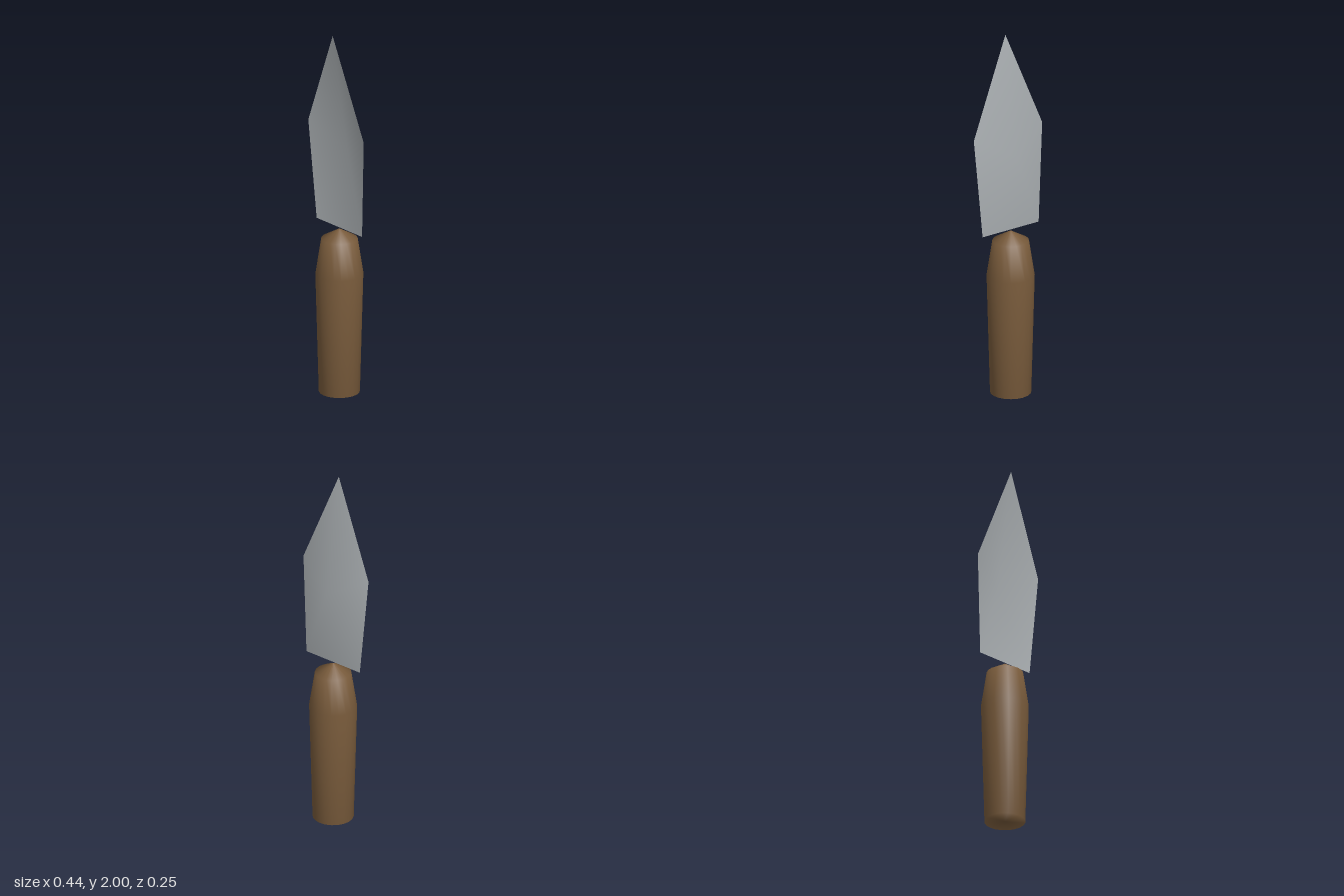
import * as THREE from 'three';

export function createModel() {
  const model = new THREE.Group();
  model.name = 'trowel';

  const wood = new THREE.MeshStandardMaterial({ color: 0x7a5c3c });
  wood.name = 'brown wood';
  const steel = new THREE.MeshStandardMaterial({ color: 0xa9aeb1, side: THREE.DoubleSide });
  steel.name = 'grey steel';

  // Handle: turned grip, widening upwards, then tapering to a low cone
  const profile = [[0, 0], [0.108, 0], [0.126, 0.66], [0.096, 0.855], [0, 0.91]]
    .map(([r, y]) => new THREE.Vector2(r, y));
  const handle = new THREE.Mesh(new THREE.LatheGeometry(profile, 20), wood);
  handle.name = 'handle';
  model.add(handle);

  // Blade: thin dished sheet, a fan from its sunken middle to a flat rim
  const rim = [[0, 2], [-0.222, 1.46], [-0.182, 0.915], [0.182, 0.915], [0.222, 1.46]];
  const points = [0, 1.34, -0.054];
  const faces = [];
  rim.forEach(([x, y], i) => {
    points.push(x, y, (y - 0.915) * 0.0425);
    faces.push(0, i + 1, ((i + 1) % rim.length) + 1);
  });
  const sheet = new THREE.BufferGeometry();
  sheet.setAttribute('position', new THREE.Float32BufferAttribute(points, 3));
  sheet.setIndex(faces);
  sheet.computeVertexNormals();
  const blade = new THREE.Mesh(sheet, steel);
  blade.name = 'blade';
  model.add(blade);

  return model;
}
